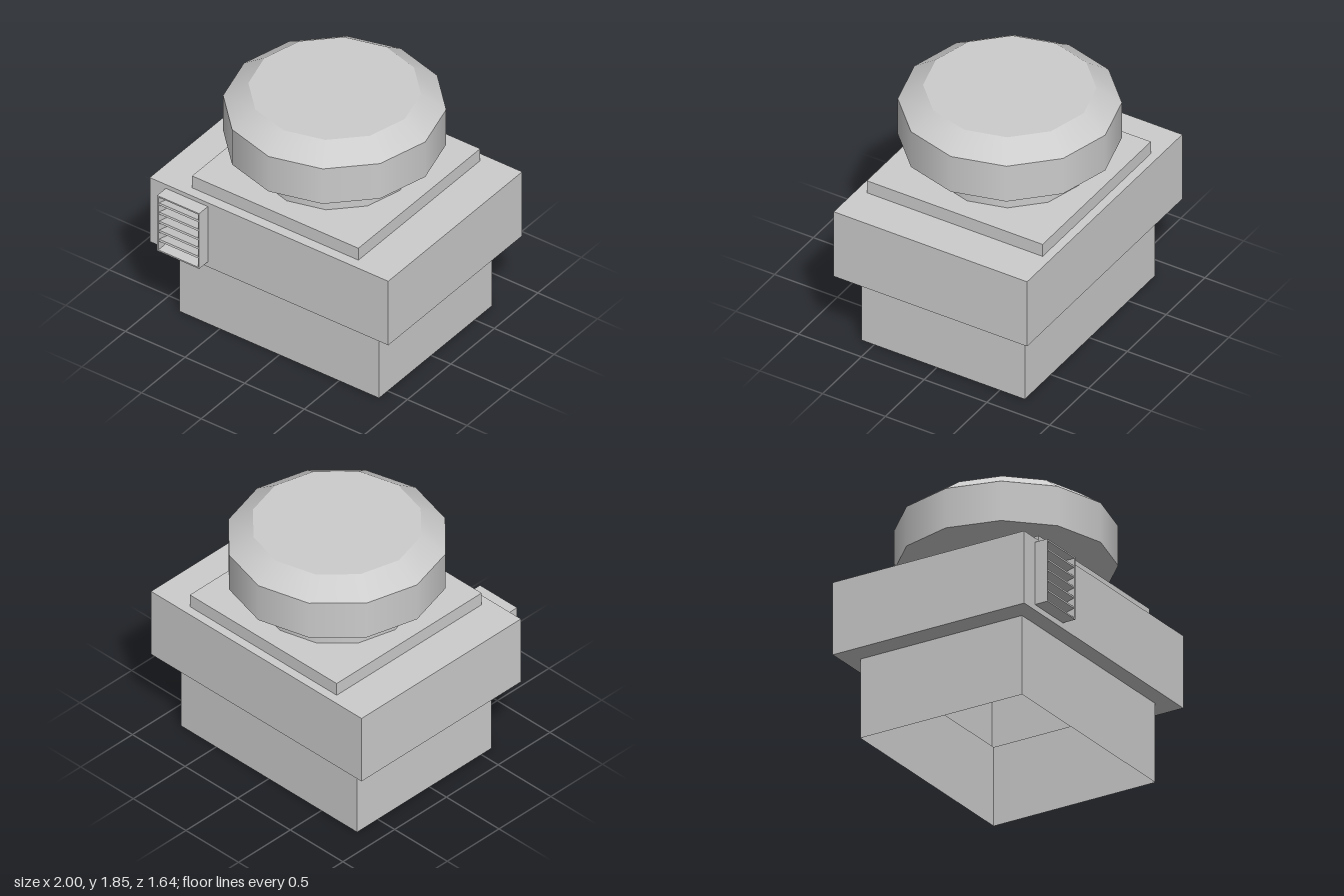
import * as THREE from 'three';

const grey = new THREE.MeshStandardMaterial({ color: 0xcccccc });
grey.name = 'grey';
const greySheet = new THREE.MeshStandardMaterial({ color: 0xcccccc, side: THREE.DoubleSide });
greySheet.name = 'grey sheet';

function add(parent, name, geometry, material = grey) {
  const mesh = new THREE.Mesh(geometry, material);
  mesh.name = name;
  parent.add(mesh);
  return mesh;
}

// Flat rectangle from (x0, y0) to (x1, y1), optionally with a rectangular hole
function rect(x0, y0, x1, y1, hole) {
  const corners = (a, b, c, d) => [[a, b], [c, b], [c, d], [a, d]].map(p => new THREE.Vector2(...p));
  const shape = new THREE.Shape(corners(x0, y0, x1, y1));
  if (hole) shape.holes.push(new THREE.Path(corners(...hole).reverse()));
  return shape;
}

// Four sheet walls around a footprint, open above and below
function walls(parent, name, [x0, z0, x1, z1], y0, y1, frontHole) {
  const group = new THREE.Group();
  group.name = name;
  parent.add(group);
  const wall = (part, shape) => add(group, part, new THREE.ShapeGeometry(shape), greySheet);
  wall('frontWall', rect(x0, y0, x1, y1, frontHole)).position.z = z1;
  const back = wall('backWall', rect(-x1, y0, -x0, y1));
  back.rotation.y = Math.PI;
  back.position.z = z0;
  const left = wall('leftWall', rect(-z1, y0, -z0, y1));
  left.rotation.y = Math.PI / 2;
  left.position.x = x1;
  const right = wall('rightWall', rect(z0, y0, z1, y1));
  right.rotation.y = -Math.PI / 2;
  right.position.x = x0;
}

// Horizontal sheet, footprint given in x and z
function sheet(parent, name, shape, y) {
  const mesh = add(parent, name, new THREE.ShapeGeometry(shape), greySheet);
  mesh.rotation.x = Math.PI / 2;
  mesh.position.y = y;
}

export function createModel() {
  const model = new THREE.Group();
  model.name = 'roofVentilator';

  const base = [-0.84, -0.7, 0.835, 0.6];
  const body = [-1, -0.82, 1, 0.72];
  const opening = [-0.855, 0.643, -0.523, 1.087];

  // Hollow base and wider body, joined by a ledge
  walls(model, 'base', base, 0, 0.59);
  walls(model, 'body', body, 0.59, 1.13, opening);
  sheet(model, 'ledge', rect(...body, base), 0.59);
  sheet(model, 'bodyTop', rect(...body), 1.13);

  // Mounting plate
  add(model, 'mountingPlate', new THREE.BoxGeometry(1.395, 0.1, 1.4).translate(-0.0025, 1.18, -0.055));

  // Twelve-sided cowl: one smooth band per profile step, with sharp edges between
  const cowl = new THREE.Group();
  cowl.name = 'cowl';
  cowl.position.set(-0.015, 0, -0.055);
  model.add(cowl);
  const profile = [[0.55, 1.23], [0.55, 1.345], [0.76, 1.435], [0.76, 1.73], [0.588, 1.848]];
  ['neck', 'cowlUnderside', 'cowlSide', 'cowlBevel'].forEach((name, i) => {
    const [r0, y0] = profile[i], [r1, y1] = profile[i + 1];
    const band = new THREE.CylinderGeometry(r1, r0, y1 - y0, 12, 1, true);
    add(cowl, name, band.translate(0, (y0 + y1) / 2, 0));
  });
  add(cowl, 'cowlTop', new THREE.CircleGeometry(0.588, 12).rotateX(-Math.PI / 2).translate(0, 1.848, 0));

  // Louvred vent on the front
  const vent = new THREE.Group();
  vent.name = 'vent';
  model.add(vent);
  const frame = rect(-0.865, 0.632, -0.513, 1.098, opening);
  add(vent, 'ventFrame', new THREE.ExtrudeGeometry(frame, { depth: 0.1, bevelEnabled: false }).translate(0, 0, 0.72));
  for (let i = 0; i < 5; i++) {
    const slat = add(vent, 'slat', new THREE.BoxGeometry(0.332, 0.015, 0.095));
    slat.position.set(-0.689, 1.015 - i * 0.0765, 0.768);
    slat.rotation.x = -0.26;
  }
  return model;
}
